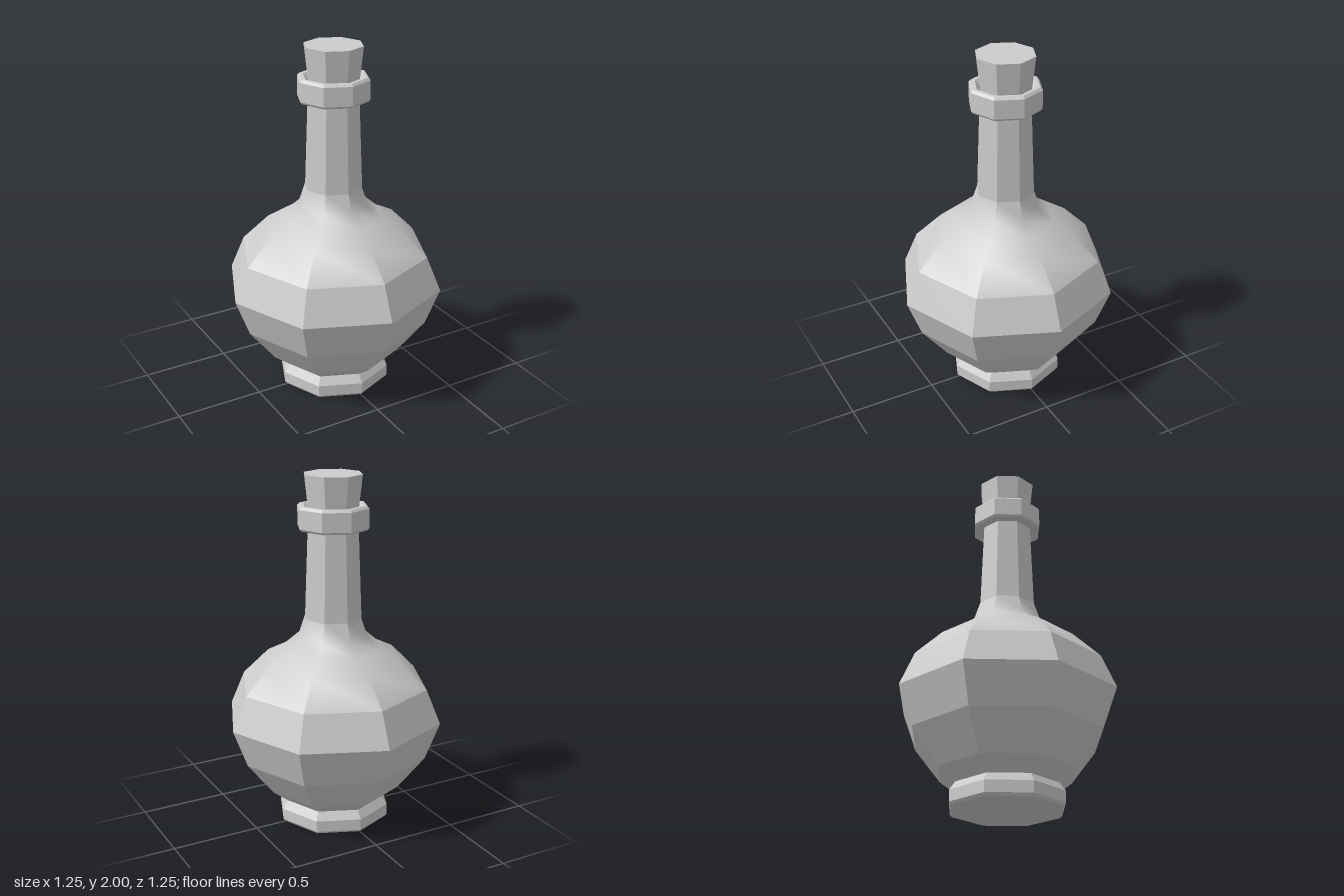
import * as THREE from 'three';

const SIDES = 8;

// Faceted eight-sided turned part; rings between smoothFrom and smoothTo keep rounded normals
function turned(name, profile, smoothFrom = 1, smoothTo = 0) {
  const points = profile.map(([r, y]) => new THREE.Vector2(r, y));
  const geometry = new THREE.LatheGeometry(points, SIDES).toNonIndexed();
  const rounded = geometry.getAttribute('normal').clone();
  geometry.computeVertexNormals();
  const position = geometry.getAttribute('position');
  const normal = geometry.getAttribute('normal');
  for (let i = 0; i < position.count; i++) {
    const y = position.getY(i);
    if (y > smoothFrom && y < smoothTo) {
      normal.setXYZ(i, rounded.getX(i), rounded.getY(i), rounded.getZ(i));
    }
  }
  const mesh = new THREE.Mesh(geometry, new THREE.MeshStandardMaterial({ color: 0xcccccc }));
  mesh.name = name;
  return mesh;
}

export function createModel() {
  const group = new THREE.Group();
  group.name = 'bottle';

  // Bevelled foot with a flat underside
  group.add(turned('foot', [
    [0, 0], [0.315, 0], [0.328, 0.015], [0.328, 0.08], [0.295, 0.127],
  ]));

  // Faceted belly, softened shoulder and long tapering neck
  group.add(turned('body', [
    [0.295, 0.127], [0.39, 0.2], [0.545, 0.4], [0.627, 0.62], [0.545, 0.815],
    [0.39, 0.97], [0.28, 1.025], [0.2, 1.095], [0.165, 1.2], [0.145, 1.72],
  ], 0.9, 1.15));

  // Collar around the mouth, with a shallow recess at the stopper
  group.add(turned('collar', [
    [0.14, 1.7], [0.195, 1.7], [0.205, 1.712], [0.205, 1.818],
    [0.192, 1.832], [0.17, 1.832], [0.14, 1.8],
  ]));

  // Stopper flaring towards its flat top
  group.add(turned('stopper', [
    [0, 1.75], [0.138, 1.75], [0.166, 2], [0, 2],
  ]));

  return group;
}
